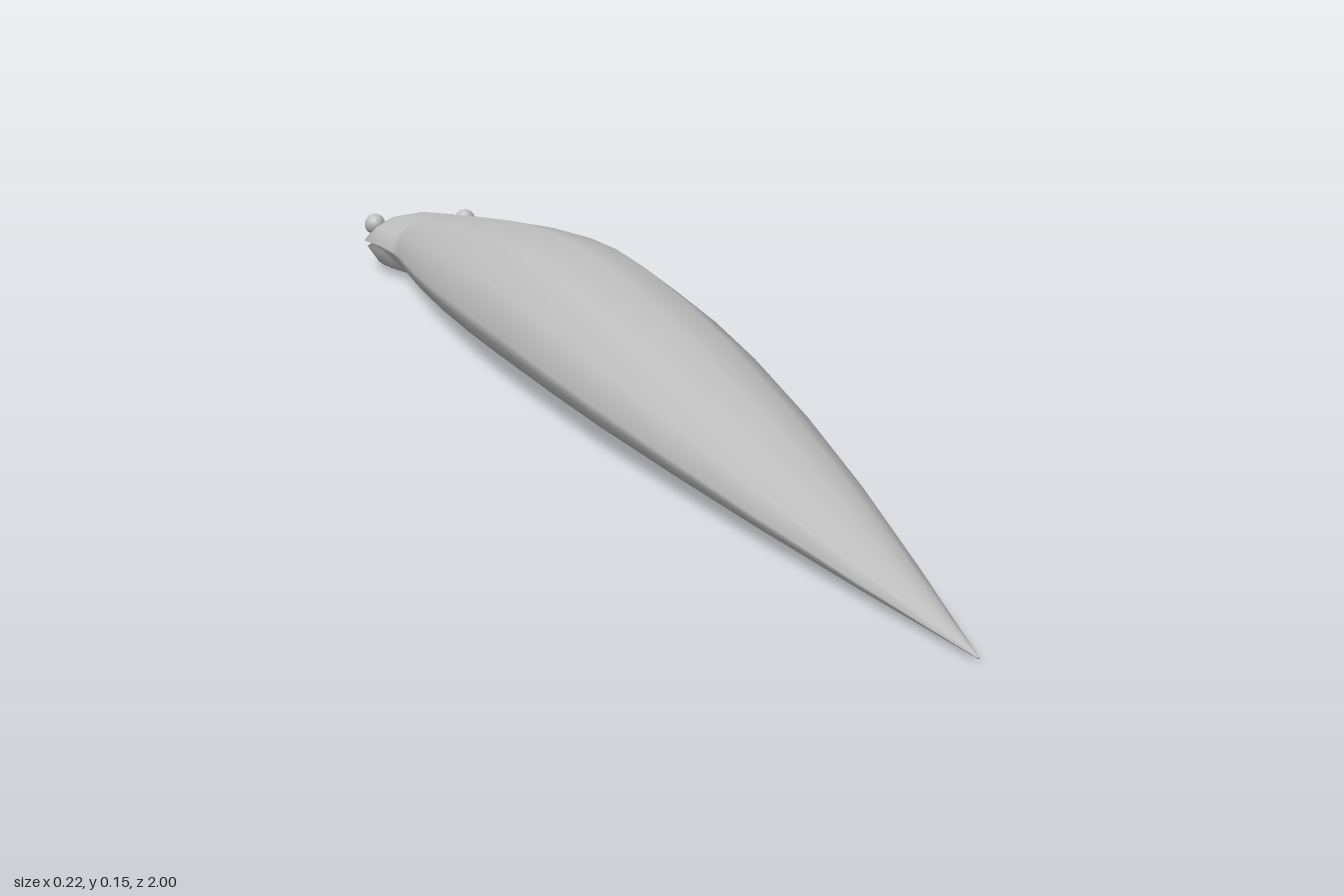
import * as THREE from 'three';

// Stations nose to tail: z, half width, bottom y, top y, mouth amount (0..1)
const STATIONS = [
  [-1.0, 0.024, 0.008, 0.028, 0.6], [-0.99, 0.037, 0.004, 0.036, 1],
  [-0.97, 0.054, 0.002, 0.048, 1], [-0.945, 0.068, 0.001, 0.06, 1],
  [-0.915, 0.077, 0, 0.073, 1], [-0.885, 0.078, 0, 0.078, 1],
  [-0.85, 0.072, 0, 0.082, 0.9], [-0.82, 0.062, 0.001, 0.086, 0.3],
  [-0.8, 0.06, 0.002, 0.089, 0], [-0.7, 0.074, 0.003, 0.103, 0],
  [-0.6, 0.086, 0.003, 0.117, 0], [-0.45, 0.1, 0.003, 0.136, 0],
  [-0.3, 0.108, 0.003, 0.149, 0], [-0.2, 0.11, 0.003, 0.153, 0],
  [-0.1, 0.109, 0.003, 0.151, 0], [0.05, 0.105, 0.003, 0.141, 0],
  [0.2, 0.097, 0.003, 0.126, 0], [0.4, 0.08, 0.003, 0.101, 0],
  [0.6, 0.058, 0.003, 0.071, 0], [0.8, 0.031, 0.003, 0.038, 0],
  [0.92, 0.013, 0.003, 0.018, 0], [1.0, 0.001, 0.003, 0.005, 0],
];

// Half cross-section from back to belly as fractions of width and height
const BODY = [[0, 1], [0.5, 0.92], [0.87, 0.71], [1, 0.42], [0.95, 0.32], [0.87, 0.21], [0.6, 0.075], [0.35, 0.02], [0, 0]];
// The same points on the head, with a groove between the lips
const HEAD = [[0, 1], [0.48, 0.94], [0.82, 0.77], [1, 0.53], [0.86, 0.48], [0.95, 0.43], [0.75, 0.13], [0.4, 0.02], [0, 0]];

function ring([z, w, bottom, top, mouth]) {
  const half = BODY.map(([x, y], i) => [
    THREE.MathUtils.lerp(x, HEAD[i][0], mouth) * w,
    bottom + THREE.MathUtils.lerp(y, HEAD[i][1], mouth) * (top - bottom),
  ]);
  const mirrored = half.slice(1, -1).reverse().map(([x, y]) => [-x, y]);
  return [...half, ...mirrored].map(([x, y]) => [x, y, z]);
}

// Smooth skin lofted through all stations and closed at both ends
function bodyGeometry() {
  const rings = STATIONS.map(ring);
  const n = rings[0].length;
  const positions = rings.flat(2);
  const index = [];
  for (let i = 0; i < rings.length - 1; i++) {
    for (let j = 0; j < n; j++) {
      const a = i * n + j, b = i * n + (j + 1) % n;
      index.push(a, a + n, b, b, a + n, b + n);
    }
  }
  const last = (rings.length - 1) * n;
  const nose = positions.length / 3, tail = nose + 1;
  positions.push(0, 0.018, -1, 0, 0.004, 1);
  for (let j = 0; j < n; j++) {
    const k = (j + 1) % n;
    index.push(nose, j, k, tail, last + k, last + j);
  }
  const geometry = new THREE.BufferGeometry();
  geometry.setAttribute('position', new THREE.Float32BufferAttribute(positions, 3));
  geometry.setIndex(index);
  geometry.computeVertexNormals();
  return geometry;
}

export function createModel() {
  const group = new THREE.Group();
  group.name = 'snake';
  const skin = new THREE.MeshStandardMaterial({ color: 0xbfbfbf });
  skin.name = 'grey skin';

  const body = new THREE.Mesh(bodyGeometry(), skin);
  body.name = 'body';
  group.add(body);

  // Small round eyes on the sides of the head
  const eyeGeometry = new THREE.SphereGeometry(0.014, 10, 8);
  for (const side of [1, -1]) {
    const eye = new THREE.Mesh(eyeGeometry, skin);
    eye.name = side > 0 ? 'leftEye' : 'rightEye';
    eye.position.set(side * 0.062, 0.06, -0.917);
    group.add(eye);
  }
  return group;
}
